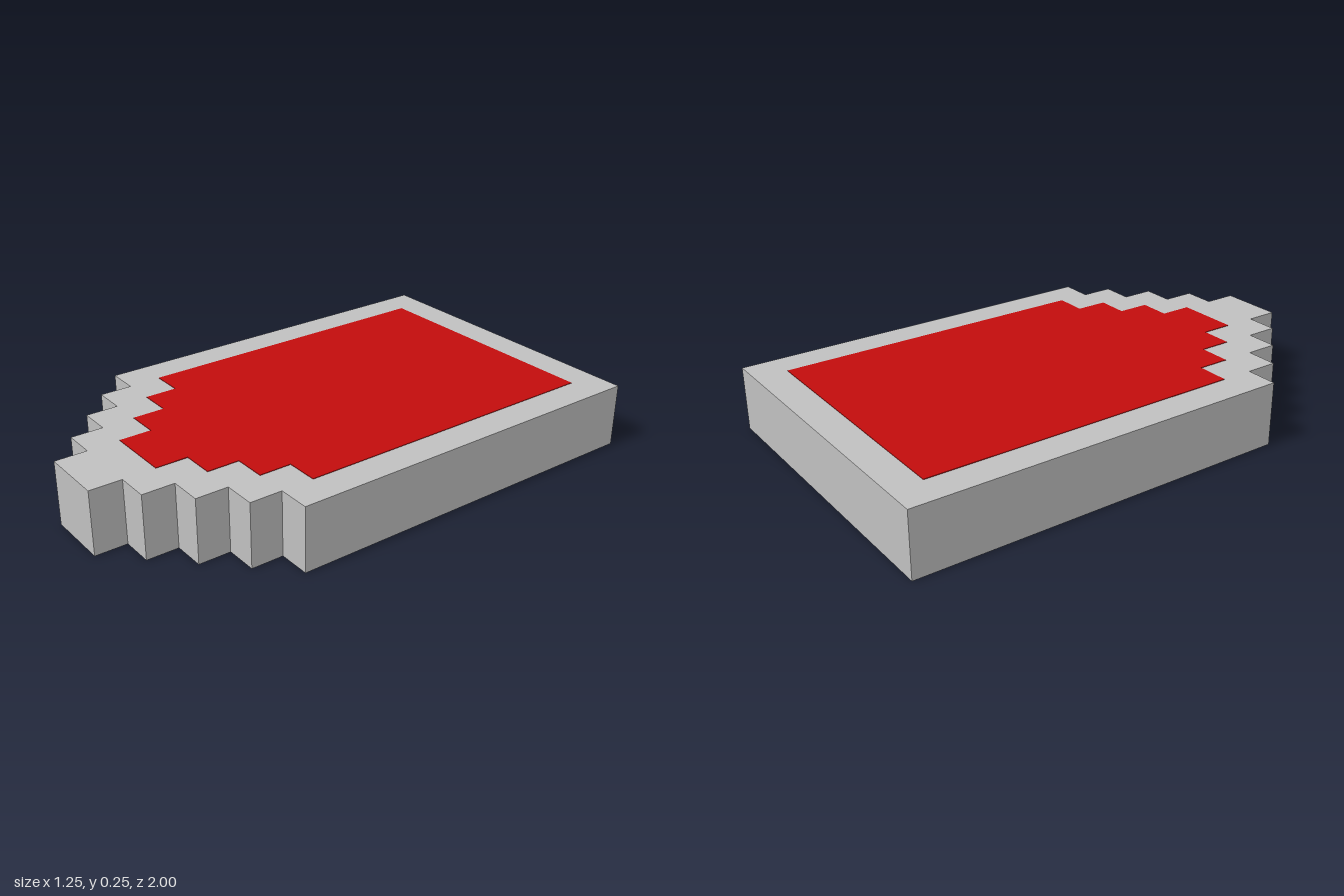
import * as THREE from 'three';

const STEP = 0.125;
const HEIGHT = 0.25;

// Plan outline: straight sides from the back, then a stepped taper to the front (shape y = model z)
function steppedOutline(halfWidth, back, shoulder, front) {
  const right = [];
  let z = shoulder;
  for (let x = halfWidth; x > STEP / 2; x -= STEP) {
    const end = x > STEP * 1.5 ? z : front;
    right.push([x, right.length ? z - STEP : back], [x, end]);
    z += STEP;
  }
  const left = right.map(([x, y]) => [-x, y]).reverse();
  return new THREE.Shape([...right, ...left].map(([x, y]) => new THREE.Vector2(x, y)));
}

// Slab with the given outline whose top lies at the given height
function slab(name, outline, depth, top, material) {
  const geometry = new THREE.ExtrudeGeometry(outline, { depth, bevelEnabled: false });
  geometry.rotateX(Math.PI / 2);
  geometry.translate(0, top, 0);
  const mesh = new THREE.Mesh(geometry, material);
  mesh.name = name;
  return mesh;
}

export function createModel() {
  const grey = new THREE.MeshStandardMaterial({ color: 0xc0c0c0 });
  grey.name = 'light grey';
  const red = new THREE.MeshStandardMaterial({ color: 0xc20c0c });
  red.name = 'red';

  const group = new THREE.Group();
  group.name = 'steppedShield';

  // Thick body with a four-step taper
  group.add(slab('body', steppedOutline(0.625, -1, 0.5, 1), HEIGHT, HEIGHT, grey));
  // Thin inset panel on the top face
  group.add(slab('topPanel', steppedOutline(0.5, -0.875, 0.375, 0.75), 0.002, HEIGHT + 0.002, red));

  return group;
}
